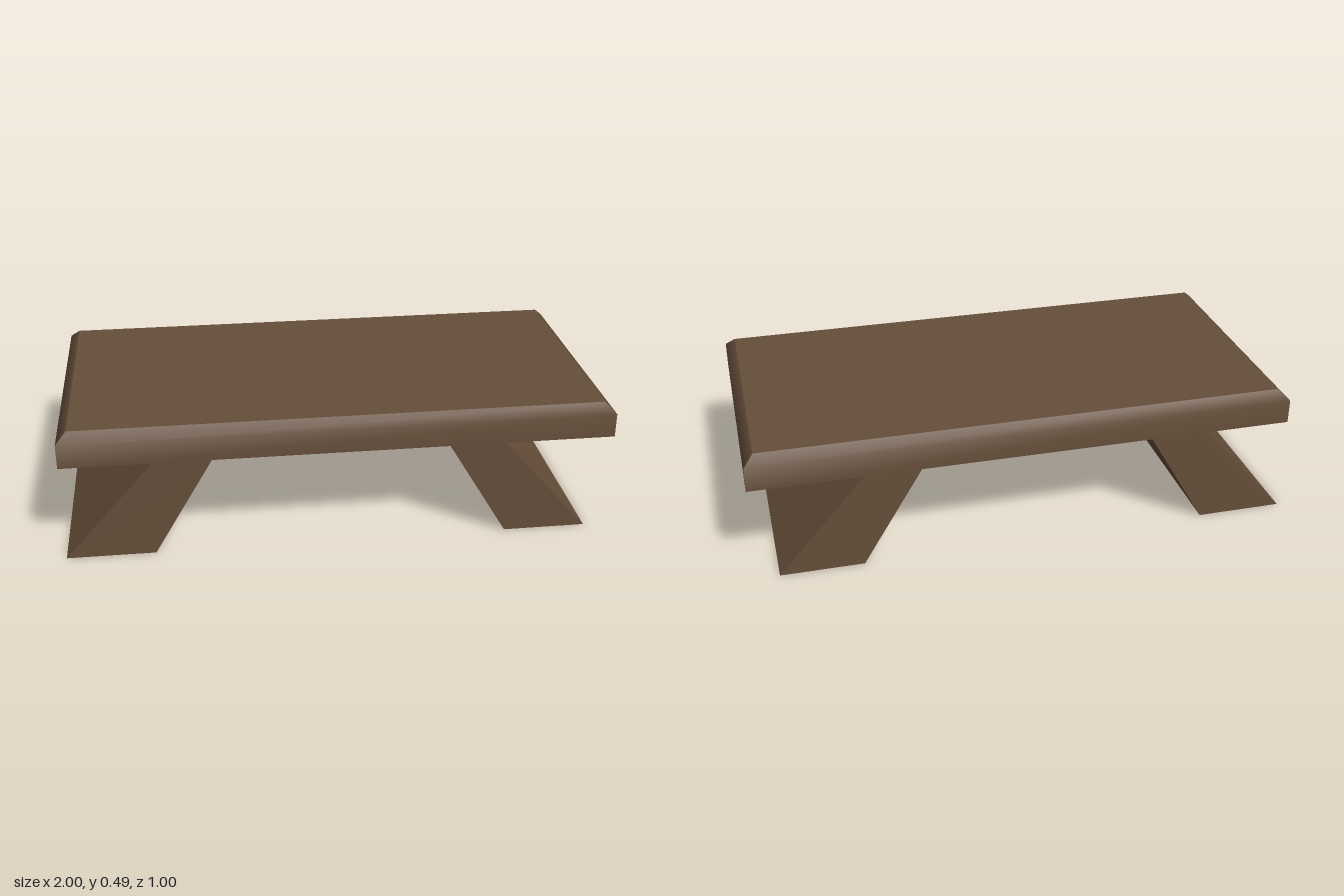
import * as THREE from 'three';
import { mergeGeometries } from 'three/addons/utils/BufferGeometryUtils.js';

const UNDERSIDE = 0.365, SHOULDER = 0.455, TOP = 0.49, BEVEL = 0.037;
const HALF_X = 1, HALF_Z = 0.5;

// Four corners of a horizontal rectangle, anticlockwise seen from above
function ring(inset, y) {
  const x = HALF_X - inset, z = HALF_Z - inset;
  return [[-x, y, z], [x, y, z], [x, y, -z], [-x, y, -z]];
}

function patch(points, index) {
  const geometry = new THREE.BufferGeometry();
  geometry.setAttribute('position', new THREE.Float32BufferAttribute(points.flat(), 3));
  geometry.setIndex(index);
  geometry.computeVertexNormals();
  return geometry;
}

// Slab with a bevelled upper rim: each side is shaded smoothly into its bevel
function slabGeometry() {
  const rings = [ring(0, UNDERSIDE), ring(0, SHOULDER), ring(BEVEL, TOP)];
  const parts = [
    patch(rings[2], [0, 1, 2, 0, 2, 3]),
    patch(rings[0], [0, 2, 1, 0, 3, 2]),
  ];
  for (let i = 0; i < 4; i++) {
    const points = rings.flatMap((r) => [r[i], r[(i + 1) % 4]]);
    parts.push(patch(points, [0, 1, 3, 0, 3, 2, 2, 3, 5, 2, 5, 4]));
  }
  return mergeGeometries(parts);
}

// Splayed leg: a slanted outline run through the full depth
function legGeometry(outline) {
  const shape = new THREE.Shape(outline.map(([x, y]) => new THREE.Vector2(x, y)));
  const geometry = new THREE.ExtrudeGeometry(shape, { depth: HALF_Z * 2, bevelEnabled: false });
  return geometry.translate(0, 0, -HALF_Z);
}

export function createModel() {
  const group = new THREE.Group();
  group.name = 'lowTable';
  const wood = new THREE.MeshStandardMaterial({ color: 0x664e3a });
  wood.name = 'dark wood';

  const add = (name, geometry) => {
    const mesh = new THREE.Mesh(geometry, wood);
    mesh.name = name;
    group.add(mesh);
  };

  add('tableTop', slabGeometry());
  add('rightLeg', legGeometry([[-1, 0], [-0.68, 0], [-0.465, UNDERSIDE], [-0.675, UNDERSIDE]]));
  add('leftLeg', legGeometry([[0.61, 0], [0.915, 0], [0.595, UNDERSIDE], [0.39, UNDERSIDE]]));
  return group;
}
